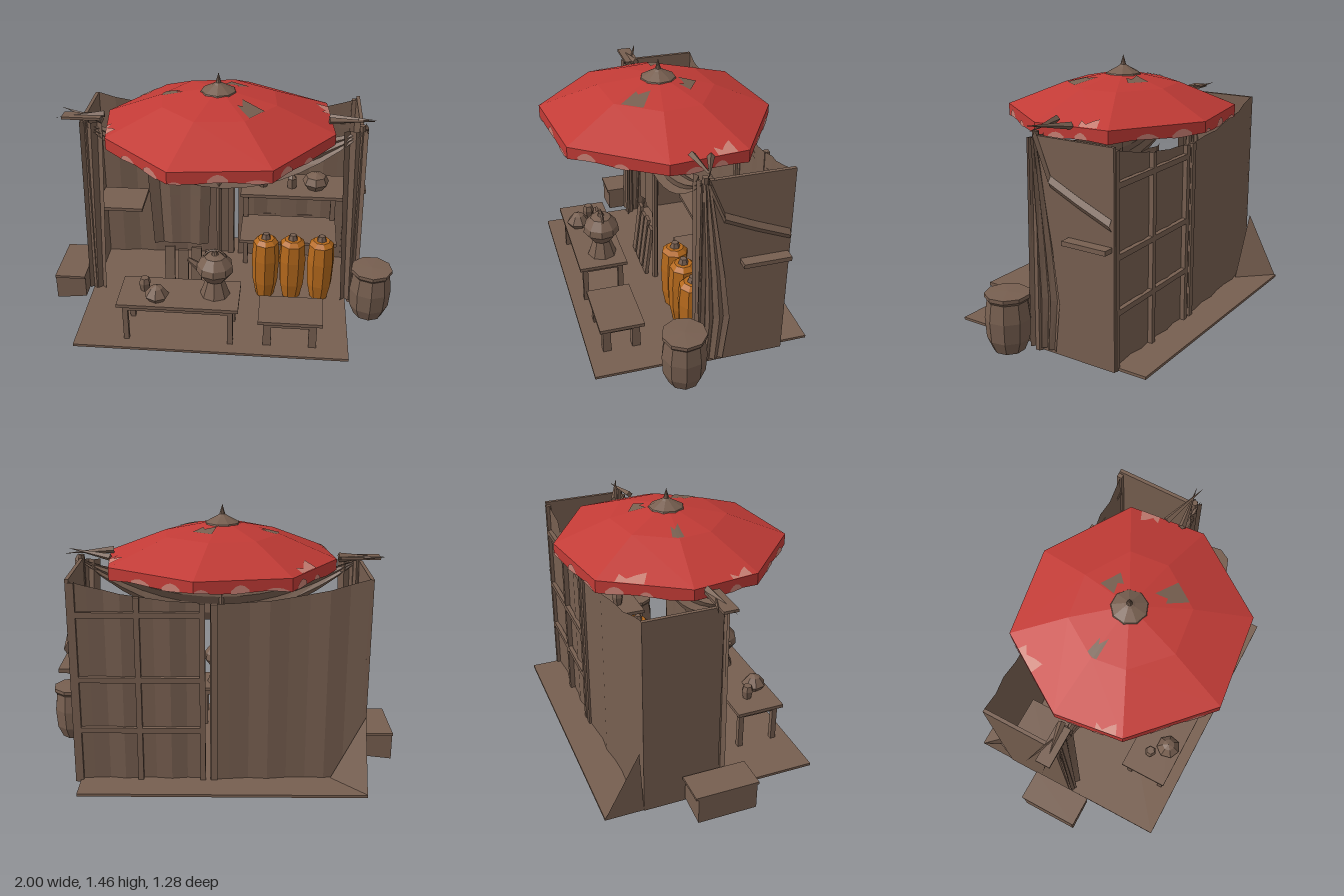
import * as THREE from 'three';

const mat = (name, color) => new THREE.MeshStandardMaterial({ name, color, side: THREE.DoubleSide });

export function createModel() {
  const root = new THREE.Group();
  root.name = 'marketStall';
  const wood = mat('weathered brown', 0x775f50);
  const red = mat('canopy red', 0xc23b36);
  const pink = mat('faded pink', 0xc98074);
  const orange = mat('clay orange', 0xb5691c);

  // faceted mesh helper
  function add(name, geo, m = wood, x = 0, y = 0, z = 0, parent = root) {
    const g = geo.index ? geo.toNonIndexed() : geo;
    g.computeVertexNormals();
    const mesh = new THREE.Mesh(g, m);
    mesh.name = name;
    mesh.position.set(x, y, z);
    parent.add(mesh);
    return mesh;
  }
  // box given by its limits
  const box = (name, x0, x1, y0, y1, z0, z1, m = wood, parent = root) =>
    add(name, new THREE.BoxGeometry(x1 - x0, y1 - y0, z1 - z0), m,
      (x0 + x1) / 2, (y0 + y1) / 2, (z0 + z1) / 2, parent);
  // grid surface from f(u, v) -> [x, y, z], u and v in 0..1
  function sheet(nu, nv, f) {
    const p = [];
    for (let i = 0; i < nu; i++) for (let j = 0; j < nv; j++) {
      const q = (a, b) => f((i + a) / nu, (j + b) / nv);
      p.push(...q(0, 0), ...q(1, 0), ...q(1, 1), ...q(0, 0), ...q(1, 1), ...q(0, 1));
    }
    return new THREE.BufferGeometry().setAttribute('position', new THREE.Float32BufferAttribute(p, 3));
  }
  const lathe = (pts, n) => new THREE.LatheGeometry(pts.map(a => new THREE.Vector2(...a)), n);
  const lerp = THREE.MathUtils.lerp;
  const sag = x => 1.02 + 0.12 * (x / 0.78) ** 2;

  // floor
  box('floor', -0.8, 0.75, 0, 0.015, -0.635, 0.575);

  // back walls with sagging top edge, side walls
  const wall = (name, x0, x1, z0, z1) => add(name, sheet(8, 1, (u, v) => {
    const x = lerp(x0, x1, u);
    return [x, v * sag(x), lerp(z0, z1, u) + 0.008 * Math.sin(u * 18)];
  }));
  wall('plainBackWall', -0.79, 0.04, -0.42, -0.46);
  wall('shelfBackWall', 0.08, 0.76, -0.45, -0.45);
  box('rightWall', -0.805, -0.785, 0, 1.14, -0.42, 0);
  box('leftWall', 0.76, 0.78, 0, 1.15, -0.47, 0);
  for (const x of [0.08, 0.42, 0.75]) box('backPost', x - 0.015, x + 0.015, 0, sag(x), -0.475, -0.445);
  for (const y of [0.31, 0.6, 0.96]) box('backRail', 0.08, 0.76, y - 0.015, y + 0.015, -0.475, -0.45);
  box('gapPost', 0.0, 0.035, 0, 1.02, -0.475, -0.445);

  // flared cloth at the rear corner
  const flare = [[-0.8, 0.38, -0.44], [-0.8, 0.012, -0.63], [-0.62, 0.012, -0.44], [-0.8, 0.012, -0.42]];
  const fp = [0, 1, 2, 0, 3, 1].flatMap(i => flare[i]);
  add('flaredCloth', new THREE.BufferGeometry().setAttribute('position', new THREE.Float32BufferAttribute(fp, 3)));

  // corner posts, gathered curtains and top pieces
  for (const s of [-1, 1]) {
    const post = add('cornerPost', new THREE.CylinderGeometry(0.018, 0.025, 1.17, 6), wood, s * 0.775, 0.585, 0);
    post.rotation.z = s * 0.01;
    add('sideCurtain', sheet(6, 4, (u, v) => [
      s * (0.79 + 0.012 * Math.cos(u * 18)), 0.02 + v * 1.12,
      0.02 - u * (v < 0.3 ? 0.14 + v * 0.12 : lerp(0.17, 0.04, (v - 0.3) / 0.7))]));
    add('frontCurtain', sheet(4, 4, (u, v) => [
      s * (0.82 - 0.02 * v - u * (0.1 + 0.03 * v)), 0.02 + v * 1.12, 0.02 + 0.012 * Math.cos(u * 12)]));
    for (const [k, t] of [[0, 0.05], [1, -0.12]]) {
      const cap = add('crossTip', new THREE.ConeGeometry(0.02, 0.27, 4), wood,
        s * (s > 0 ? 0.72 : 0.8), s > 0 ? 1.19 : 1.165, -0.01 - k * 0.03);
      cap.rotation.set(0, t * 3, -s * (Math.PI / 2 + t));
    }
  }
  box('rightTopBoard', -0.9, -0.68, 1.155, 1.17, -0.05, 0.03);

  // swag across the front, with a hanging towel below
  add('frontSwag', sheet(14, 5, (u, v) => {
    const x = lerp(-0.78, 0.77, u), s = (x / 0.78) ** 2;
    return [x, lerp(sag(x), 0.77 + 0.36 * s, v), 0.005 + (1 - s) * 0.03 * v + (Math.round(v * 5) % 2) * 0.015];
  }));
  add('hangingTowel', sheet(6, 3, (u, v) =>
    [lerp(-0.43, -0.06, u) + (u - 0.5) * -0.05 * v, lerp(0.86, 0.36, v), 0.005 + 0.012 * Math.cos(u * 16)]));

  // swag along the left wall
  const path = [[-0.01, 1.12], [-0.1, 0.9], [-0.27, 0.82], [-0.46, 0.74]];
  add('sideSwag', sheet(3, 2, (u, v) => {
    const p = path[Math.round(u * 3)];
    return [0.785 + 0.02 * Math.sin(v * 3.14), p[1] + v * 0.06, p[0]];
  }));

  // parasol: irregular octagon roof with a short valance
  const rim = [[-0.22, 0.64], [0.3, 0.58], [0.62, 0.13], [0.58, -0.3],
    [0.12, -0.59], [-0.38, -0.51], [-0.65, -0.09], [-0.6, 0.28]];
  const cx = -0.02, cz = 0.01;
  const roofY = t => (t < 0.5 ? lerp(1.37, 1.3, t * 2) : lerp(1.3, 1.17, t * 2 - 1));
  function roof(u, t, lift = 0) {
    const i = Math.floor(u + 1e-6), f = u - i, a = rim[i % 8], b = rim[(i + 1) % 8];
    return [lerp(cx, lerp(a[0], b[0], f), t), roofY(t) + lift, lerp(cz, lerp(a[1], b[1], f), t)];
  }
  function valance(u, drop, out = 1) {
    const p = roof(u, 1);
    return [p[0] * out, p[1] - drop, p[2] * out];
  }
  const hem = u => 0.065 + 0.006 * Math.sin(u * 9);
  add('parasolRoof', sheet(8, 2, (u, v) => roof(u * 8, v)), red);
  add('parasolValance', sheet(32, 1, (u, v) => valance(u * 8, v * hem(u * 8))), red);
  const patch = (name, m, u0, u1, t0, t1) => add(name, sheet(3, 2, (u, v) =>
    roof(lerp(u0, u1, u), lerp(t0 + 0.04 * Math.sin(u * 5), t1, v), 0.004)), m);
  patch('wornPatch', wood, 1.15, 1.6, 0.3, 0.5);
  patch('wornPatch', wood, 3.3, 3.95, 0.22, 0.34);
  patch('wornPatch', wood, 5.85, 6.15, 0.35, 0.5);
  patch('fadedPatch', pink, 2.6, 2.85, 0.92, 1);
  patch('fadedPatch', pink, 5.2, 5.5, 0.92, 1);
  patch('fadedPatch', pink, 6.6, 6.9, 0.95, 1);
  // ragged faded spots on the valance
  for (let k = 0; k < 22; k++) {
    const u0 = k * 0.363 + 0.02, w = 0.12 + 0.1 * Math.abs(Math.sin(k * 2.3));
    if (Math.floor(u0) !== Math.floor(u0 + w)) continue;
    const up = 0.015 + 0.03 * Math.abs(Math.sin(k * 1.7));
    add('fadedSpot', sheet(4, 1, (u, v) => {
      const q = u0 + w * u;
      return valance(q, hem(q) - v * up * Math.sin(0.4 + u * 2.4), 1.006);
    }), pink);
  }
  add('parasolCap', lathe([[0.105, 1.335], [0.095, 1.355], [0.03, 1.39], [0.016, 1.4], [0, 1.455]], 9), wood, cx, 0, cz);
  add('parasolPole', new THREE.CylinderGeometry(0.016, 0.018, 1.34, 6), wood, -0.015, 0.68, 0.03);

  // tables
  function table(name, x0, x1, z0, z1, h, leg) {
    const g = new THREE.Group();
    g.name = name;
    root.add(g);
    box('top', x0, x1, h - 0.02, h, z0, z1, wood, g);
    box('apron', x0 + 0.03, x1 - 0.03, h - 0.05, h - 0.02, z0 + 0.02, z1 - 0.02, wood, g);
    for (const x of [x0 + 0.03, x1 - 0.03 - leg]) for (const z of [z0 + 0.02, z1 - 0.02 - leg])
      box('leg', x, x + leg, 0.01, h - 0.02, z, z + leg, wood, g);
  }
  table('table', -0.55, 0.13, 0.24, 0.52, 0.265, 0.03);
  table('stool', 0.24, 0.6, 0.26, 0.51, 0.19, 0.045);

  // kettle on a stand
  const kettle = new THREE.Group();
  kettle.name = 'kettle';
  kettle.position.set(-0.01, 0.265, 0.36);
  root.add(kettle);
  add('stand', lathe([[0, 0], [0.085, 0], [0.05, 0.1], [0.06, 0.12]], 8), wood, 0, 0, 0, kettle);
  add('body', lathe([[0, 0.09], [0.06, 0.1], [0.105, 0.16], [0.1, 0.2], [0.06, 0.25], [0.02, 0.26], [0, 0.3]], 9), wood, 0, 0, 0, kettle);
  add('spout', new THREE.CylinderGeometry(0.012, 0.03, 0.1, 5), wood, -0.11, 0.19, 0, kettle).rotation.z = 0.9;
  const handle = add('handle', new THREE.TorusGeometry(0.06, 0.007, 4, 8, Math.PI), wood, 0, 0.23, 0, kettle);
  handle.scale.y = 0.95;

  // bowl, cups and leaning boards around the table
  const bowl = [[0, 0], [0.05, 0], [0.07, 0.03], [0.035, 0.075], [0, 0.09]];
  const cup = [[0, 0], [0.025, 0], [0.035, 0.05], [0.025, 0.08], [0, 0.08]];
  add('tableBowl', lathe(bowl, 7), wood, -0.33, 0.265, 0.44);
  add('tableCup', lathe(cup, 6), wood, -0.41, 0.265, 0.36);
  for (let i = 0; i < 4; i++)
    box('leaningBoard', -0.34 + i * 0.08, -0.28 + i * 0.08, 0.02, 0.36 - (i % 2) * 0.02, 0.05, 0.07).rotation.x = -0.12;

  // shelves and what stands on them
  box('upperShelf', 0.1, 0.77, 0.645, 0.665, -0.36, -0.08);
  box('lowerShelf', 0.1, 0.68, 0.345, 0.365, -0.36, -0.05);
  box('wallShelf', -0.78, -0.5, 0.49, 0.51, -0.38, -0.12);
  box('outerShelf', 0.76, 0.84, 0.635, 0.66, -0.46, -0.2);
  for (const x of [0.12, 0.66]) box('shelfPost', x - 0.015, x + 0.015, 0.01, 0.66, -0.36, -0.33);
  add('shelfCup', lathe(cup, 6), wood, 0.23, 0.665, -0.2);
  add('shelfBottle', lathe([[0, 0], [0.03, 0], [0.03, 0.06], [0.012, 0.08], [0.015, 0.12], [0, 0.12]], 6), wood, 0.4, 0.665, -0.2);
  add('shelfBowl', lathe([[0, 0], [0.05, 0], [0.08, 0.04], [0.06, 0.08], [0, 0.1]], 7), wood, 0.54, 0.665, -0.2);

  // tall clay jars
  [0.26, 0.42, 0.59].forEach((x, i) => {
    add('clayJar', lathe([[0, 0], [0.055, 0], [0.075, 0.1], [0.082, 0.26], [0.075, 0.37], [0.05, 0.395], [0, 0.395]], 8),
      orange, x, 0.02, -0.01).rotation.y = i * 0.5;
    add('jarKnob', new THREE.CylinderGeometry(0.02, 0.03, 0.03, 6), wood, x, 0.43, -0.01);
  });

  // barrel and crate outside
  add('barrel', lathe([[0, 0], [0.085, 0], [0.115, 0.07], [0.122, 0.18], [0.108, 0.28], [0.12, 0.295], [0.12, 0.315], [0, 0.32]], 9),
    wood, 0.88, 0.012, 0.125);
  const crate = new THREE.BoxGeometry(0.18, 0.16, 0.33);
  const cp = crate.attributes.position;
  for (let i = 0; i < cp.count; i++) if (cp.getY(i) < 0 && cp.getX(i) > 0) cp.setY(i, cp.getY(i) + 0.02);
  add('crate', crate, wood, -0.91, 0.09, -0.03);
  box('crateLid', -1, -0.82, 0.16, 0.175, -0.21, 0.145);

  return root;
}
